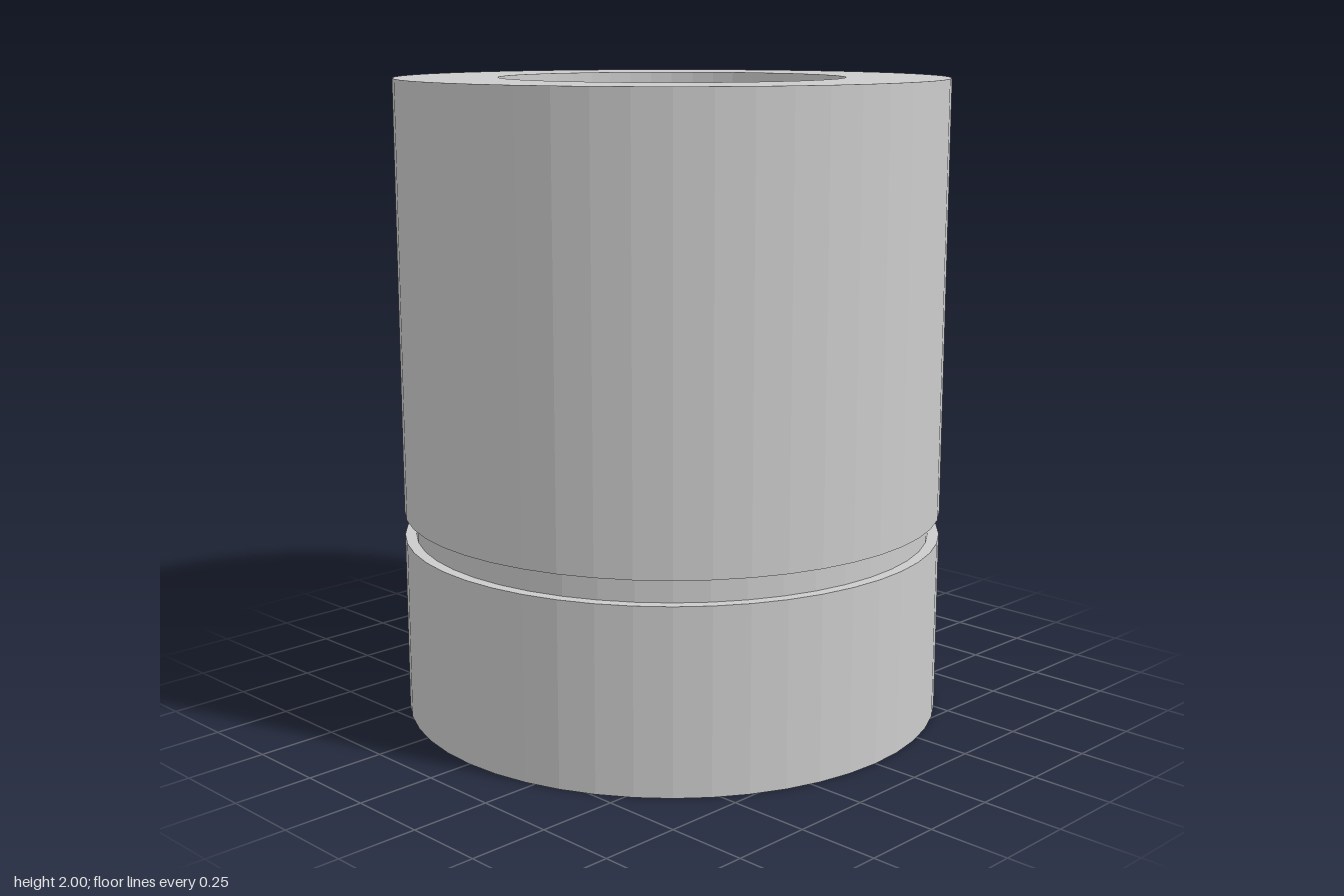
import * as THREE from 'three';

const OUTER = 0.855, BORE = 0.535, GROOVE = 0.82;
const HEIGHT = 2, GROOVE_BOTTOM = 0.57, GROOVE_TOP = 0.645;

export function createModel() {
  const group = new THREE.Group();
  group.name = 'bushing';

  // Closed cross-section: out along the base, up the grooved wall, back down the bore
  const profile = [
    [BORE, 0], [OUTER, 0],
    [OUTER, GROOVE_BOTTOM], [GROOVE, GROOVE_BOTTOM],
    [GROOVE, GROOVE_TOP], [OUTER, GROOVE_TOP],
    [OUTER, HEIGHT], [BORE, HEIGHT], [BORE, 0],
  ].map(([r, y]) => new THREE.Vector2(r, y));

  const sleeve = new THREE.Mesh(
    new THREE.LatheGeometry(profile, 48),
    new THREE.MeshStandardMaterial({ color: 0xcccccc, flatShading: true }),
  );
  sleeve.name = 'groovedSleeve';
  group.add(sleeve);
  return group;
}
